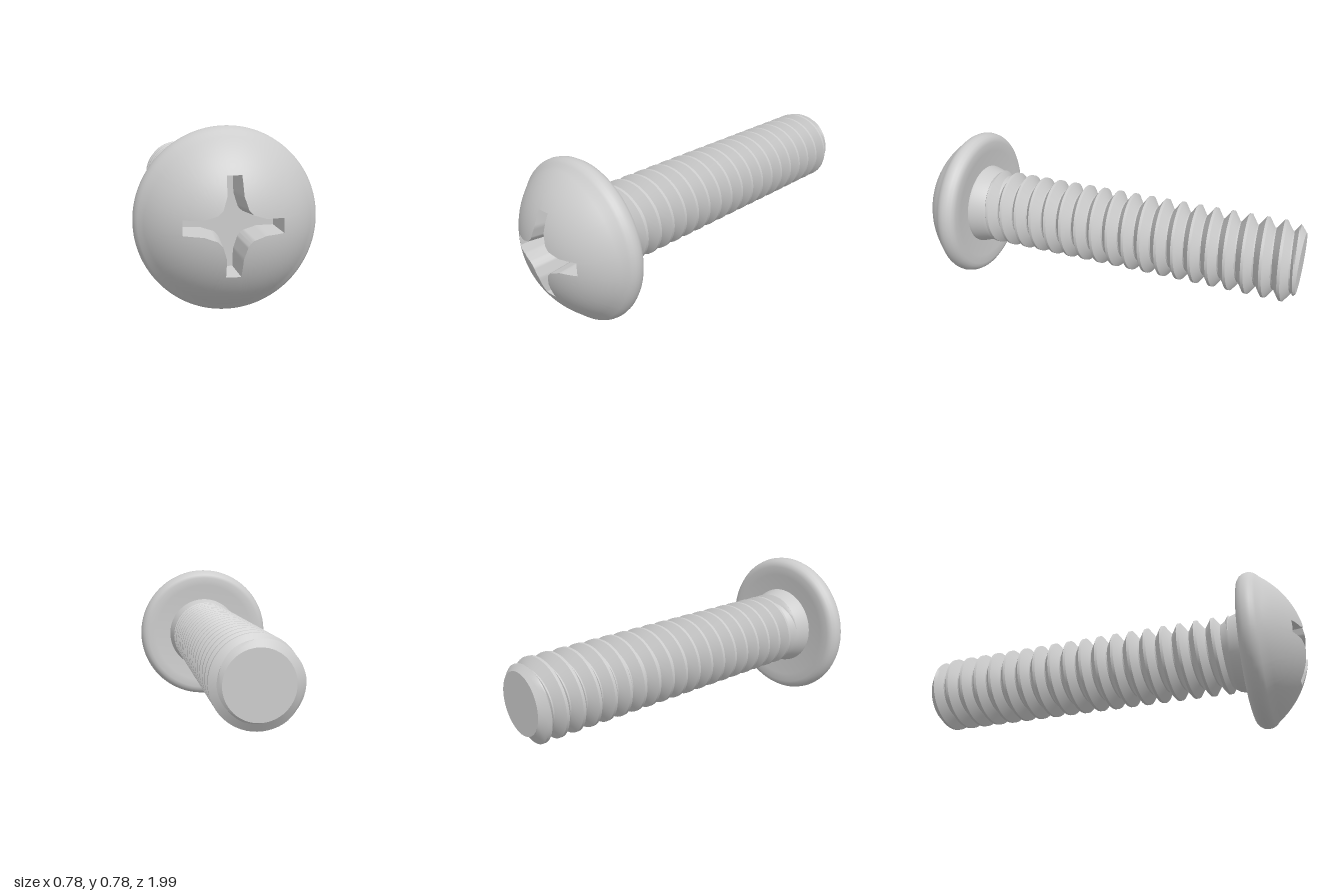
import * as THREE from 'three';
import { toCreasedNormals } from 'three/addons/utils/BufferGeometryUtils.js';

const RADIUS = 0.39;
const material = new THREE.MeshStandardMaterial({ color: 0xcccccc });

// Surface from a grid of points; the front lies along du x dv
function gridSurface(nu, nv, point) {
  const positions = [], index = [];
  for (let v = 0; v <= nv; v++) {
    for (let u = 0; u <= nu; u++) positions.push(...point(u, v));
  }
  for (let v = 0; v < nv; v++) {
    for (let u = 0; u < nu; u++) {
      const a = v * (nu + 1) + u, d = a + nu + 1;
      index.push(a, a + 1, d + 1, a, d + 1, d);
    }
  }
  const geometry = new THREE.BufferGeometry();
  geometry.setAttribute('position', new THREE.Float32BufferAttribute(positions, 3));
  geometry.setIndex(index);
  return toCreasedNormals(geometry, 0.6);
}

// Closed cross outline: one quarter turned four times, each edge subdivided
function crossOutline(quarter, steps = 6) {
  const corners = [];
  for (let k = 0; k < 4; k++) {
    for (const [x, y] of quarter) {
      corners.push(new THREE.Vector2(x, y).rotateAround(new THREE.Vector2(), k * Math.PI / 2));
    }
  }
  const points = [];
  corners.forEach((p, i) => {
    const next = corners[(i + 1) % corners.length];
    for (let s = 0; s < steps; s++) points.push(p.clone().lerp(next, s / steps));
  });
  points.push(points[0].clone());
  return points;
}

// Domed head, rim, underside and tapered cross recess as one skin
function headGeometry() {
  const mouth = crossOutline([[0.205, 0.031], [0.125, 0.034], [0.072, 0.051], [0.061, 0.061],
    [0.051, 0.072], [0.034, 0.125], [0.031, 0.205]]);
  const floor = crossOutline([[0.191, 0.02], [0.119, 0.022], [0.06, 0.041], [0.05, 0.05],
    [0.041, 0.06], [0.022, 0.119], [0.02, 0.191]]);
  const R = 0.45, domeEdge = 0.36, floorZ = 0.82;
  const domeZ = (r) => 1 - R + Math.sqrt(R * R - r * r);
  const rim = [[0.19, 0.727], [0.22, 0.727], [0.3, 0.717], [0.345, 0.715], [0.362, 0.719], [0.376, 0.729],
    [0.386, 0.746], [0.39, 0.766], [0.388, 0.783], [0.381, 0.798], [0.372, 0.809]];
  const domeRows = 14, last = rim.length + domeRows;

  return gridSurface(mouth.length - 1, last + 2, (u, v) => {
    const m = mouth[u], r0 = m.length();
    if (v === last + 2) return [0, 0, floorZ];
    if (v === last + 1) return [floor[u].x, floor[u].y, floorZ];
    let r, z;
    if (v < rim.length) [r, z] = rim[v];
    else {
      r = THREE.MathUtils.lerp(domeEdge, r0, (v - rim.length) / domeRows);
      z = domeZ(r);
    }
    return [m.x / r0 * r, m.y / r0 * r, z];
  });
}

// Right-hand V thread, chamfered at the tip and running out under the head
function threadGeometry() {
  const pitch = 0.0858, crest = 0.197, root = 0.15, tip = -1, top = 0.66;
  const perTurn = 56, turns = 22, firstCrest = 0.642;
  const section = []; // [offset along the axis, radius]
  const flank = 5;
  for (let i = 0; i <= flank; i++) {
    const t = i / flank;
    section.push([THREE.MathUtils.lerp(-0.46, -0.08, t), THREE.MathUtils.lerp(root, crest, t)]);
  }
  for (let i = flank; i >= 0; i--) section.push([-section[i][0], section[i][1]]);
  section.push([0.54, root]);

  return gridSurface(perTurn * turns, section.length - 1, (u, v) => {
    const turn = u / perTurn;
    const angle = turn * Math.PI * 2 + Math.PI / 2;
    const [offset, radius] = section[v];
    const z = THREE.MathUtils.clamp(firstCrest + pitch * (turn - turns + 2 + offset), tip, top);
    const r = Math.min(radius, root + (z - tip) * 1.2, crest - Math.max(0, z - 0.64) * 0.8);
    return [r * Math.cos(angle), r * Math.sin(angle), z];
  });
}

export function createModel() {
  const screw = new THREE.Group();
  screw.name = 'screw';
  const add = (name, geometry) => {
    const mesh = new THREE.Mesh(geometry, material);
    mesh.name = name;
    mesh.position.y = RADIUS;
    screw.add(mesh);
  };

  add('head', headGeometry());
  add('thread', threadGeometry());

  // Flared neck between thread and head
  const neck = [[0.148, 0.59], [0.182, 0.64], [0.19, 0.652], [0.21, 0.715], [0.212, 0.73]];
  const neckGeometry = new THREE.LatheGeometry(neck.map(([r, y]) => new THREE.Vector2(r, y)), 64);
  add('neck', neckGeometry.rotateX(Math.PI / 2));

  // Flat tip
  add('tip', new THREE.CircleGeometry(0.15, 56).rotateY(Math.PI).translate(0, 0, -1));
  return screw;
}
